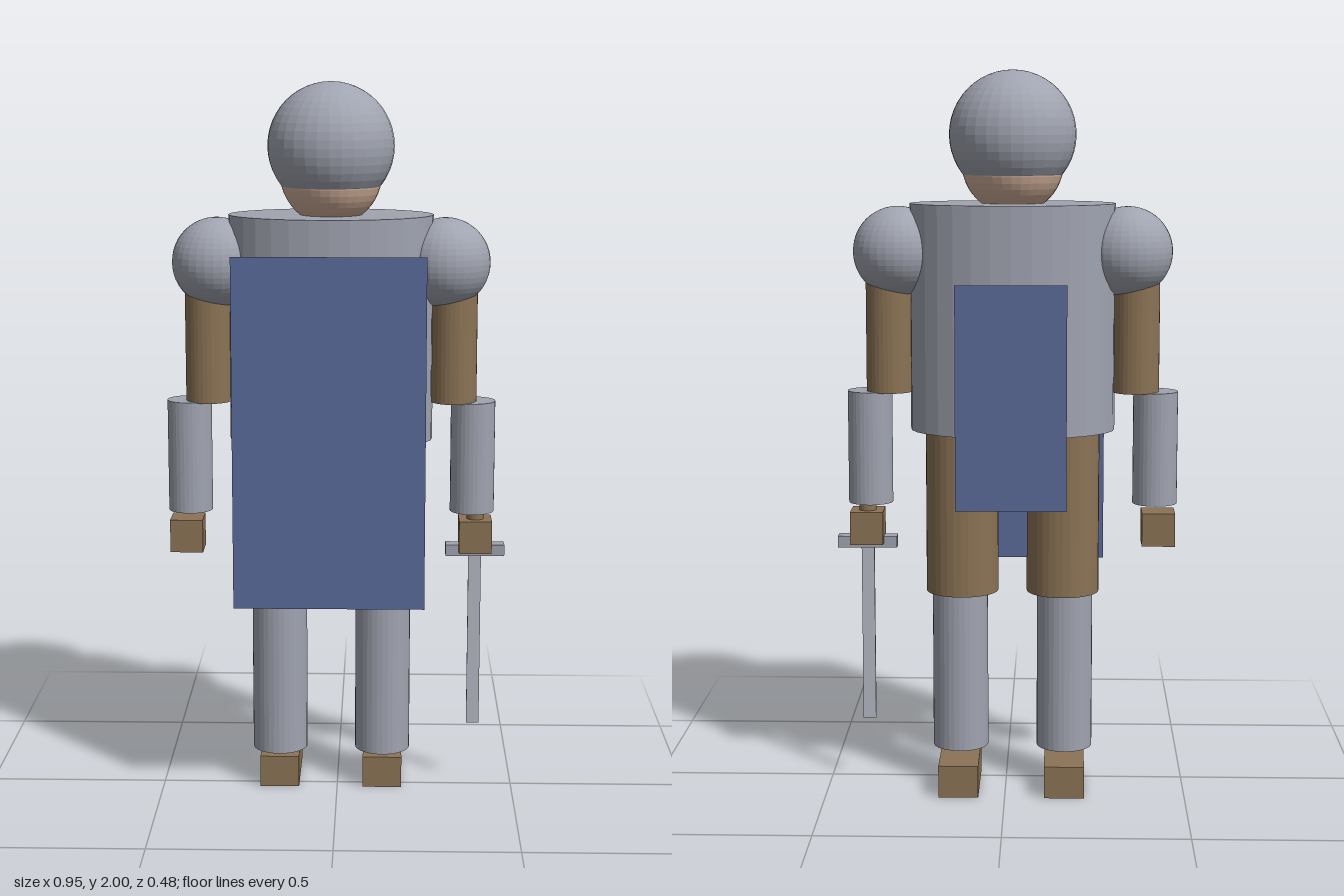
import * as THREE from 'three';

const paint = (name, color) => {
  const m = new THREE.MeshStandardMaterial({ color });
  m.name = name;
  return m;
};

export function createModel() {
  const steel = paint('armour steel', 0xa0a4b0);
  const blade = paint('blade steel', 0xb4b8c2);
  const leather = paint('brown leather', 0x8b7355);
  const skin = paint('skin', 0xd2b09a);
  const cloth = paint('blue cloth', 0x5a6b9a);
  cloth.side = THREE.DoubleSide;

  const model = new THREE.Group();
  model.name = 'knight';
  // The body sits slightly off the origin, mirrored about its own middle
  const body = new THREE.Group();
  body.name = 'body';
  body.position.set(-0.018, 0, -0.023);
  model.add(body);

  const add = (name, geometry, material, x, y, z = 0) => {
    const mesh = new THREE.Mesh(geometry, material);
    mesh.name = name;
    mesh.position.set(x, y, z);
    body.add(mesh);
    return mesh;
  };
  // Faceted primitives
  const facet = (g) => {
    const f = g.toNonIndexed();
    f.computeVertexNormals();
    return f;
  };
  const ball = (r) => facet(new THREE.SphereGeometry(r, 32, 24));
  const tube = (name, r, y0, y1, material, x) =>
    add(name, facet(new THREE.CylinderGeometry(r, r, y1 - y0, 32)), material, x, (y0 + y1) / 2);
  const box = (name, w, h, d, material, x, y, z) =>
    add(name, new THREE.BoxGeometry(w, h, d), material, x, y, z);

  // Head and helmet
  add('head', ball(0.14), skin, 0, 1.75);
  add('helmet', ball(0.174), steel, 0, 1.826);

  // Oval breastplate
  const oval = new THREE.CylinderGeometry(0.283, 0.283, 0.625, 32);
  oval.scale(1, 1, 0.192 / 0.283);
  add('breastplate', facet(oval), steel, 0, 1.3275);

  // Arms and legs
  for (const [side, s] of [['left', 1], ['right', -1]]) {
    add(side + 'Shoulder', ball(0.124), steel, s * 0.316, 1.508);
    tube(side + 'UpperArm', 0.065, 1.12, 1.5, leather, s * 0.341);
    tube(side + 'Forearm', 0.062, 0.807, 1.122, steel, s * 0.397);
    box(side + 'Hand', 0.092, 0.093, 0.092, leather, s * 0.407, 0.737, 0);
    tube(side + 'Thigh', 0.101, 0.555, 1.03, leather, s * 0.141);
    tube(side + 'Shin', 0.078, 0.105, 0.565, steel, s * 0.147);
    box(side + 'Foot', 0.111, 0.09, 0.228, leather, s * 0.147, 0.045, -0.054);
  }

  // Sword in the left hand, pointing down
  tube('swordGrip', 0.024, 0.69, 0.82, leather, 0.407);
  box('swordGuard', 0.166, 0.032, 0.042, steel, 0.407, 0.694, 0);
  box('swordBlade', 0.036, 0.51, 0.01, blade, 0.407, 0.433, 0);

  // Cloth panels in front and behind
  add('frontTabard', new THREE.PlaneGeometry(0.52, 0.96), cloth, 0, 1.07, 0.263);
  add('backCloth', new THREE.PlaneGeometry(0.3, 0.61), cloth, 0, 1.127, -0.217)
    .rotation.y = Math.PI;

  return model;
}
